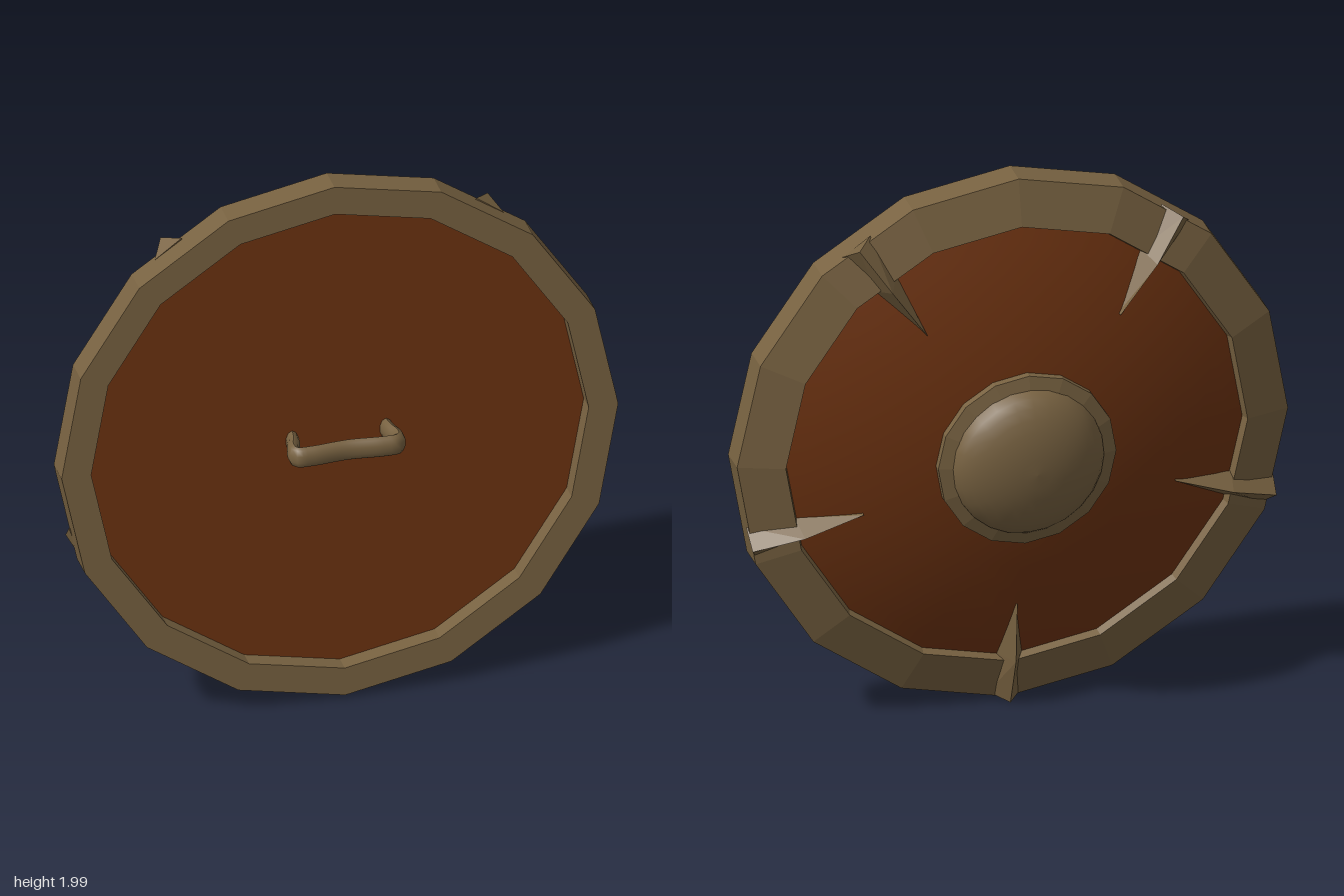
import * as THREE from 'three';

const SIDES = 16;
const v2 = (pts) => pts.map(([r, h]) => new THREE.Vector2(r, h));

// Faceted normals
function flat(geo) {
  const g = geo.index ? geo.toNonIndexed() : geo;
  g.computeVertexNormals();
  return g;
}

// Turned part: [radius, height] profile, with height pointing out of the back (-z)
function turned(pts, sides) {
  return new THREE.LatheGeometry(v2(pts), sides).rotateX(-Math.PI / 2);
}

// Three-sided claw lying over the rim, its point toward the centre.
// Each section: [base radius, ridge radius, base height, ridge height, half width]
function clawGeometry() {
  const sections = [
    [0.975, 0.99, 0.09, 0.16, 0.06],
    [0.81, 0.81, 0.13, 0.215, 0.045],
    [0.59, 0.59, 0.195, 0.215, 0.003],
  ];
  const pos = [];
  for (const [rb, rr, hb, hr, w] of sections) {
    pos.push(-w, rb, -hb, 0, rr, -hr, w, rb, -hb);
  }
  const idx = [0, 2, 1];
  for (let s = 0; s < sections.length - 1; s++) {
    for (let i = 0; i < 3; i++) {
      const a = s * 3 + i, b = s * 3 + (i + 1) % 3;
      idx.push(a, b, b + 3, a, b + 3, a + 3);
    }
  }
  idx.push(6, 7, 8);
  // Reverse the winding so that every face points outward
  for (let i = 0; i < idx.length; i += 3) [idx[i + 1], idx[i + 2]] = [idx[i + 2], idx[i + 1]];
  const g = new THREE.BufferGeometry();
  g.setAttribute('position', new THREE.Float32BufferAttribute(pos, 3));
  g.setIndex(idx);
  // Check orientation by signed volume
  let volume = 0;
  const p = [0, 1, 2].map(() => new THREE.Vector3());
  for (let i = 0; i < idx.length; i += 3) {
    p.forEach((v, k) => v.fromArray(pos, idx[i + k] * 3));
    volume += p[0].dot(p[1].clone().cross(p[2]));
  }
  if (volume < 0) g.setIndex(idx.reverse());
  return flat(g);
}

export function createModel() {
  const group = new THREE.Group();
  const wood = new THREE.MeshStandardMaterial({ color: 0x6e3311 });
  wood.name = 'redBrownWood';
  const metal = new THREE.MeshStandardMaterial({ color: 0x786241 });
  metal.name = 'bronze';

  const shield = new THREE.Group();
  shield.name = 'shield';
  shield.position.set(0, 1.01, 0.165);
  shield.rotation.x = -0.076;
  group.add(shield);

  const add = (name, geo, mat) => {
    const m = new THREE.Mesh(geo, mat);
    m.name = name;
    shield.add(m);
    return m;
  };

  // Board: flat grip side and domed outer side
  add('boardInside', turned([[0, 0.07], [0.89, 0.07]], SIDES), wood);
  const cap = [];
  for (let i = 0; i <= 8; i++) {
    const r = 0.87 * (1 - i / 8);
    cap.push([r, 0.285 - 0.23 * r * r]);
  }
  add('boardOutside', turned(cap, SIDES), wood);

  // Rim band
  add('rim', flat(turned([
    [0.885, 0], [0.99, 0], [0.99, 0.11], [0.83, 0.162], [0.815, 0.115], [0.885, 0.07], [0.885, 0],
  ], SIDES)), metal);

  // Central boss
  add('bossFlange', flat(turned([[0.32, 0.24], [0.32, 0.29], [0.27, 0.305], [0.26, 0.28]], SIDES)), metal);
  const dome = [];
  for (let i = 0; i <= 8; i++) {
    const a = (i / 8) * Math.PI / 2;
    dome.push([i === 8 ? 0 : 0.275 * Math.cos(a), 0.285 + 0.135 * Math.sin(a)]);
  }
  add('bossDome', turned(dome, 24), metal);

  // Five claws around the rim
  const claw = clawGeometry();
  for (let i = 0; i < 5; i++) {
    add('claw', claw, metal).rotation.z = Math.PI + (i * Math.PI * 2) / 5;
  }

  // Grip handle
  const path = new THREE.CatmullRomCurve3([
    [-0.165, -0.09], [-0.172, -0.03], [-0.185, 0.02], [-0.18, 0.052], [-0.13, 0.057], [0, 0.046],
    [0.13, 0.057], [0.18, 0.052], [0.185, 0.02], [0.172, -0.03], [0.165, -0.09],
  ].map(([x, z]) => new THREE.Vector3(x, 0, z)));
  const grip = new THREE.TubeGeometry(path, 48, 0.023, 10);
  grip.scale(1, 1.7, 1);
  grip.computeVertexNormals();
  const handle = add('handle', grip, metal);
  handle.position.set(0.015, -0.012, 0);

  return group;
}
